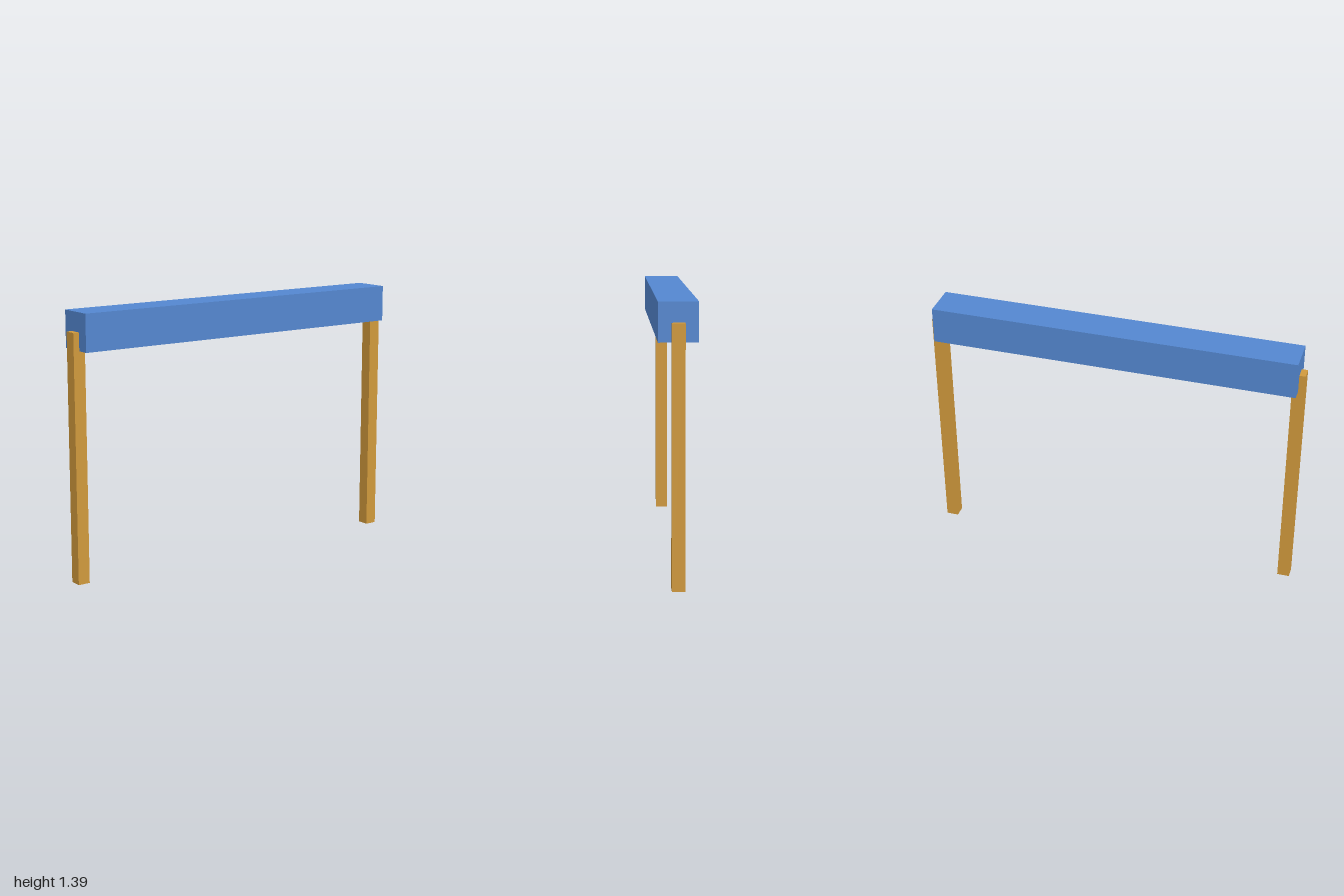
import * as THREE from 'three';

export function createModel() {
  const model = new THREE.Group();
  model.name = 'barrier';

  const blue = new THREE.MeshStandardMaterial({ color: 0x5487d0 });
  blue.name = 'blue beam paint';
  const wood = new THREE.MeshStandardMaterial({ color: 0xd0993c });
  wood.name = 'ochre post wood';

  const post = 0.0645, height = 1.29, span = 1.9355, thick = 0.1935;

  // Square beam, centred on the tops of the posts
  const beam = new THREE.Mesh(new THREE.BoxGeometry(thick, thick, span), blue);
  beam.name = 'beam';
  beam.position.y = height + 0.003;
  model.add(beam);

  // Two posts, each half sunk into an end of the beam
  const postGeometry = new THREE.BoxGeometry(post, height, post);
  for (const [name, side] of [['frontPost', 1], ['backPost', -1]]) {
    const mesh = new THREE.Mesh(postGeometry, wood);
    mesh.name = name;
    mesh.position.set(0, height / 2, side * span / 2);
    model.add(mesh);
  }

  return model;
}
